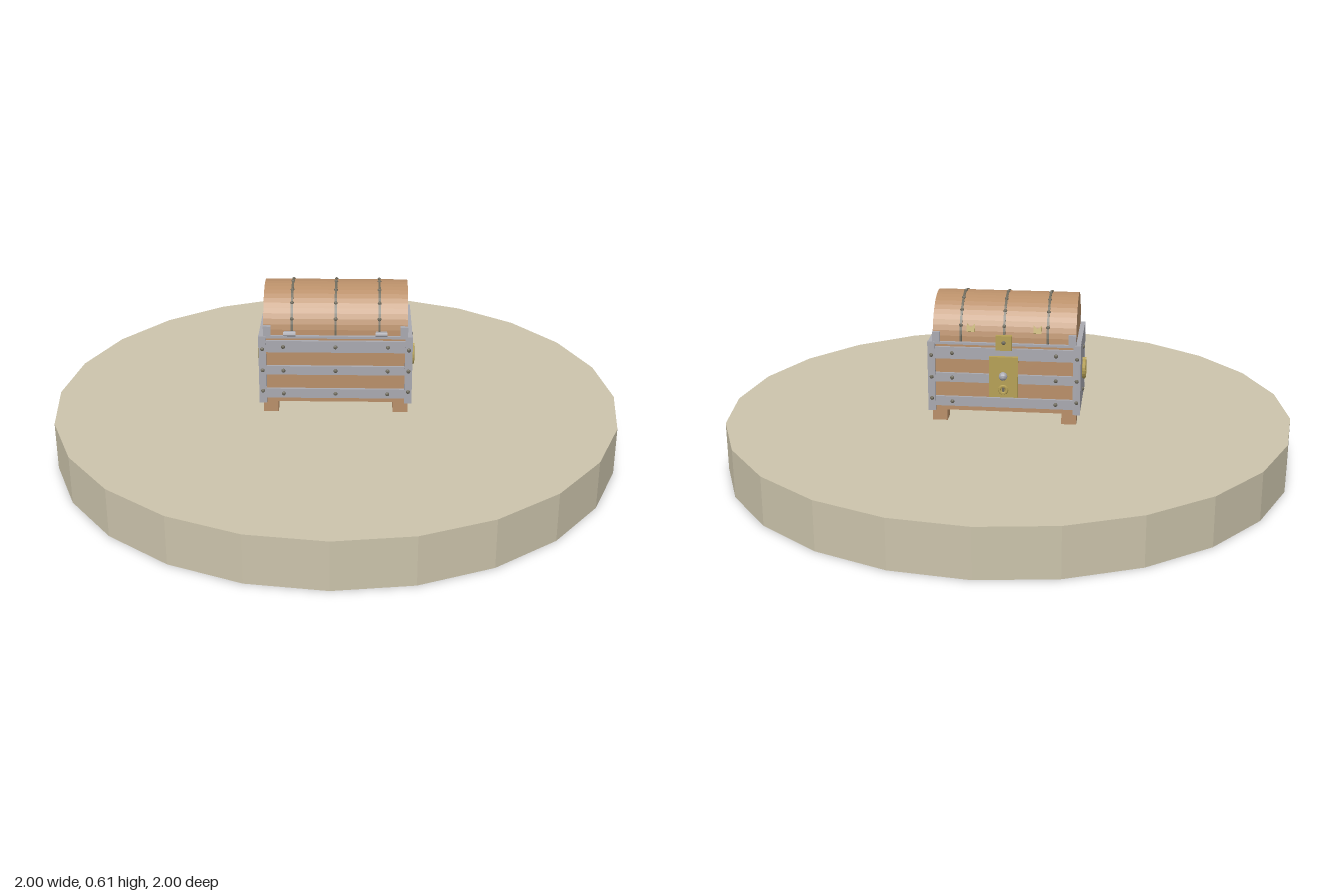
import * as THREE from 'three';

export function createModel() {
  const root = new THREE.Group();
  const mat = (name, color) => {
    const m = new THREE.MeshStandardMaterial({ color, flatShading: true });
    m.name = name;
    return m;
  };
  const stone = mat('sandstone', 0xcbc3ab);
  const wood = mat('wood', 0xb98f69);
  const steel = mat('steel', 0xa9a9b0);
  const brass = mat('brass', 0xb5a055);
  const rivetMat = mat('darkRivet', 0x6e6a5c);

  const add = (name, geo, material, x = 0, y = 0, z = 0) => {
    const mesh = new THREE.Mesh(geo, material);
    mesh.name = name;
    mesh.position.set(x, y, z);
    root.add(mesh);
    return mesh;
  };
  const box = (name, material, w, h, d, x, y, z) =>
    add(name, new THREE.BoxGeometry(w, h, d), material, x, y, z);
  const rivet = (x, y, z) =>
    add('rivet', new THREE.SphereGeometry(0.007, 8, 6), rivetMat, x, y, z);
  // half drum lying along x, resting on its flat side
  const arch = (name, radius, length, material, x, y) => {
    const shape = new THREE.Shape();
    shape.absarc(0, 0, radius, 0, Math.PI, false);
    shape.closePath();
    const geo = new THREE.ExtrudeGeometry(shape, { depth: length, bevelEnabled: false, curveSegments: 12 });
    geo.translate(0, 0, -length / 2).rotateY(Math.PI / 2);
    return add(name, geo, material, x, y, 0);
  };

  // round plinth
  add('plinth', new THREE.CylinderGeometry(1, 1, 0.17, 24), stone, 0, 0.085, 0);

  // feet
  for (const sx of [-1, 1]) for (const sz of [-1, 1])
    box('foot', wood, 0.052, 0.045, 0.052, sx * 0.226, 0.1925, sz * 0.115);

  // wooden body, steel ends
  box('body', wood, 0.5, 0.245, 0.286, 0, 0.3325, 0);
  for (const sx of [-1, 1]) {
    box('endPanel', steel, 0.022, 0.25, 0.31, sx * 0.253, 0.335, 0);
    // ring handle
    const ring = add('ringHandle', new THREE.TorusGeometry(0.031, 0.007, 8, 20), brass, sx * 0.27, 0.333, 0);
    ring.rotation.y = Math.PI / 2;
    const mount = add('handleMount', new THREE.CylinderGeometry(0.007, 0.007, 0.014, 10), brass, sx * 0.27, 0.366, 0);
    mount.rotation.z = Math.PI / 2;
    for (const y of [0.255, 0.333, 0.412]) for (const z of [-0.14, 0.14])
      if (y !== 0.333) rivet(sx * 0.265, y, 0);
  }

  // steel frame on both long sides
  for (const sz of [-1, 1]) {
    for (const sx of [-1, 1]) {
      box('cornerPost', steel, 0.026, 0.25, 0.016, sx * 0.252, 0.335, sz * 0.147);
      box('cornerBracket', steel, 0.026, 0.042, 0.014, sx * 0.235, 0.474, sz * 0.147);
      for (const y of [0.255, 0.333, 0.412]) rivet(sx * 0.252, y, sz * 0.155);
    }
    for (const [y, h] of [[0.421, 0.042], [0.332, 0.032], [0.245, 0.034]]) {
      box('slat', steel, 0.48, h, 0.013, 0, y, sz * 0.1465);
      for (const x of [-0.18, 0, 0.18])
        if (sz > 0 || x !== 0) rivet(x, y, sz * 0.154);
    }
    box('rim', steel, 0.49, 0.008, 0.012, 0, 0.456, sz * 0.147);
  }

  // domed lid with straps and studs
  const lidY = 0.461;
  arch('lid', 0.144, 0.495, wood, 0, lidY);
  for (const x of [-0.15, 0, 0.15]) {
    arch('lidStrap', 0.1465, 0.008, rivetMat, x, lidY);
    for (let i = 1; i < 8; i++) {
      const a = (i * Math.PI) / 8;
      rivet(x, lidY + Math.sin(a) * 0.143, Math.cos(a) * 0.143);
    }
  }

  // hinges along the front edge
  for (const sx of [-1, 1]) {
    box('hingeLeaf', steel, 0.038, 0.02, 0.012, sx * 0.157, 0.466, 0.15);
    const pin = add('hingePin', new THREE.CylinderGeometry(0.008, 0.008, 0.042, 10), steel, sx * 0.157, 0.47, 0.156);
    pin.rotation.z = Math.PI / 2;
  }

  // lock on the back: plate, knob, keyhole ring, hasp
  box('lockPlate', brass, 0.1, 0.145, 0.016, 0, 0.343, -0.159);
  const stem = add('lockStem', new THREE.CylinderGeometry(0.008, 0.008, 0.02, 10), brass, 0, 0.35, -0.17);
  stem.rotation.x = Math.PI / 2;
  add('lockKnob', new THREE.SphereGeometry(0.015, 12, 8), steel, 0, 0.35, -0.176);
  add('keyholeRing', new THREE.TorusGeometry(0.013, 0.005, 6, 14), brass, 0, 0.3, -0.172);
  box('keyhole', rivetMat, 0.008, 0.016, 0.004, 0, 0.3, -0.168);
  box('hasp', brass, 0.056, 0.052, 0.016, 0, 0.462, -0.149);
  rivet(0, 0.464, -0.158);

  // small brass clips on the lid, each with a notch
  for (const sx of [-1, 1]) {
    const s = new THREE.Shape();
    s.moveTo(-0.014, -0.014).lineTo(0.014, -0.014).lineTo(0.014, 0.014);
    s.lineTo(0, 0.002).lineTo(-0.014, 0.014).closePath();
    const clip = add('lidClip', new THREE.ExtrudeGeometry(s, { depth: 0.008, bevelEnabled: false }),
      brass, sx * 0.115, 0.508, -0.134);
    clip.rotation.set(0.34, Math.PI, 0);
  }
  return root;
}
